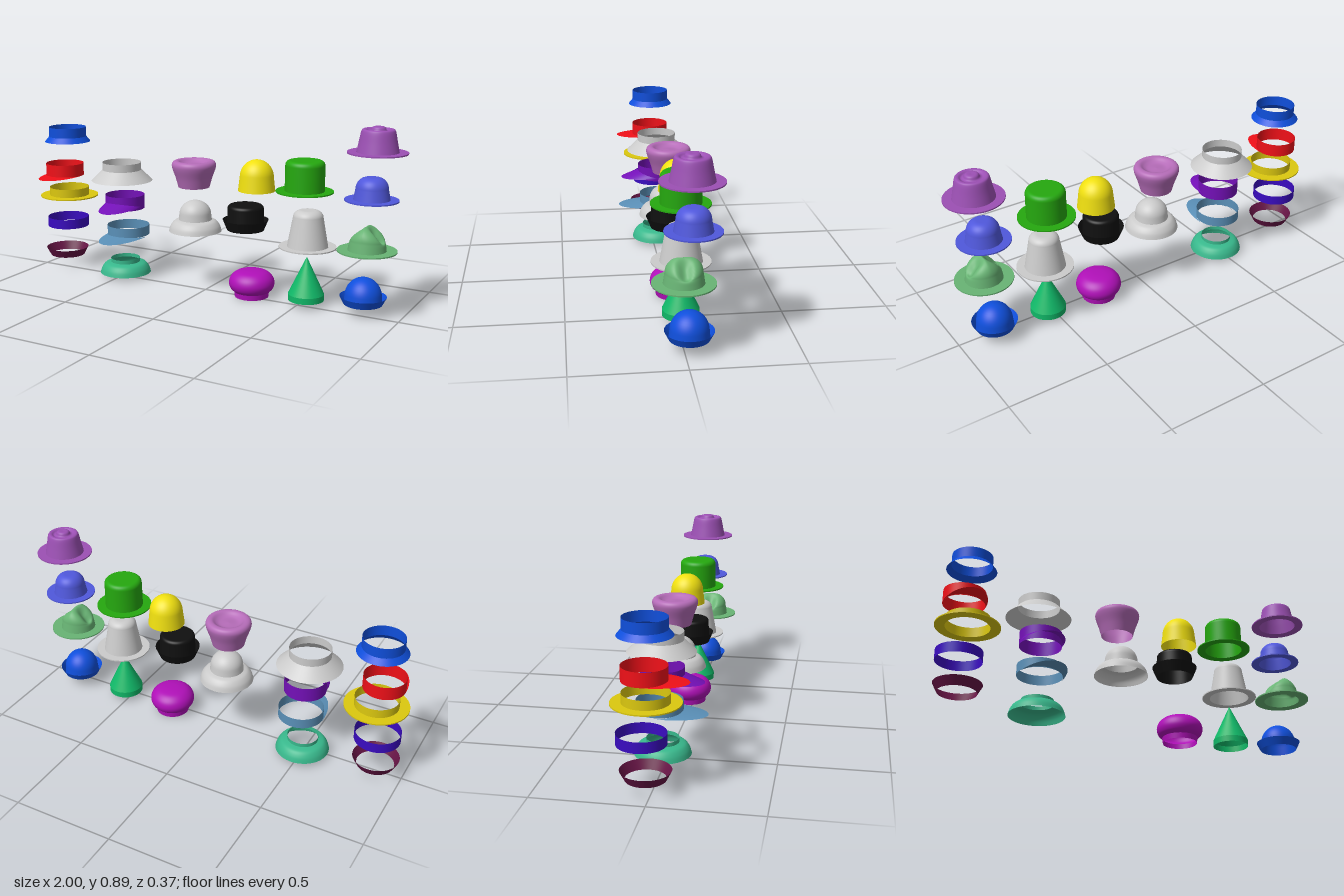
import * as THREE from 'three';

// Smooth profile run through a few [radius, height] points
const curve = (...p) => new THREE.SplineCurve(p.map(([r, y]) => new THREE.Vector2(r, y)))
  .getPoints(p.length * 5).map((q) => new THREE.Vector2(Math.max(q.x, 0), q.y));

// Straight run between two radii and heights; separate runs keep edges sharp
const cone = (r0, y0, r1, y1) => [new THREE.Vector2(r0, y0), new THREE.Vector2(r1, y1)];
const band = (r, y0, y1) => cone(r, y0, r, y1);

// Thin flat brim standing on y = 0
const THICK = 0.006;
const flatBrim = (rOut, rIn) => [
  cone(rIn, 0, rOut, 0), band(rOut, 0, THICK), cone(rOut, THICK, rIn, THICK)];

// Rounded sloping brim ending at a band or crown
const bellBrim = (rIn) => [curve([0.132, 0], [0.123, 0.027], [0.105, 0.049], [rIn, 0.058])];

// Brim turned up around the base of a crown
const upturnedBrim = (rOut, height) => [cone(0.09, 0, rOut, height)];

// Closed crown: tapering wall, then an elliptical shoulder rx by ry, then a flat top
function crown(rBase, rTop, y0, height, rx, ry) {
  const wall = cone(rBase, y0, rTop, height - ry);
  const shoulder = new THREE.EllipseCurve(rTop - rx, height - ry, rx, ry, 0, Math.PI / 2).getPoints(12);
  const top = cone(rTop - rx, height, 0, height);
  const path = [...wall, ...shoulder.slice(1)];
  return rTop > rx ? [...path, top[1]] : path;
}

// Cap visor: a tongue swept forward from the front half of the band
function visor(r, reach, yIn, yOut) {
  const geometry = new THREE.PlaneGeometry(1, 1, 28, 5);
  const p = geometry.attributes.position;
  for (let i = 0; i < p.count; i++) {
    const angle = (0.5 - p.getX(i)) * Math.PI;
    const t = 0.5 - p.getY(i);
    const s = Math.sin(angle);
    const rise = (1 - t) * (0.35 + 0.65 * s) + t * 0.35 * (1 - s);
    p.setXYZ(i, r * Math.cos(angle), yOut + (yIn - yOut) * rise, s * (r + (reach - r) * t));
  }
  geometry.computeVertexNormals();
  return geometry;
}

// Dents on both sides of the crown, leaving a ridge along the middle
function pinch(geometry) {
  const p = geometry.attributes.position;
  for (let i = 0; i < p.count; i++) {
    const x = p.getX(i), y = p.getY(i), z = p.getZ(i);
    const high = THREE.MathUtils.smoothstep(y, 0.03, 0.105);
    const side = 1 - Math.exp(-((x / 0.025) ** 2));
    const dent = high * side * Math.exp(-((z / 0.03) ** 2));
    p.setXYZ(i, x * (1 - 0.15 * dent), y - 0.036 * dent - high * 0.22 * Math.abs(x), z);
  }
  geometry.computeVertexNormals();
}

// Even spacing along a profile, for crowns that are reshaped afterwards
function respace(points) {
  const path = new THREE.CurvePath();
  points.slice(1).forEach((q, i) => path.add(new THREE.LineCurve(points[i], q)));
  return path.getSpacedPoints(36);
}

export function createModel() {
  const model = new THREE.Group();
  model.name = 'hatCollection';

  // One hat: its base at (x, y, z), with parts given as named lists of profile runs
  function addHat(name, color, x, y, z, parts) {
    const hat = new THREE.Group();
    hat.name = name;
    hat.position.set(x, y, z);
    const material = new THREE.MeshStandardMaterial({ color, side: THREE.DoubleSide });
    for (const [part, runs] of Object.entries(parts)) {
      for (const run of runs) {
        const geometry = run.isBufferGeometry ? run : new THREE.LatheGeometry(run, 56);
        const mesh = new THREE.Mesh(geometry, material);
        mesh.name = part;
        hat.add(mesh);
      }
    }
    model.add(hat);
    return hat;
  }

  const Z = -0.024, BACK = -0.04;
  const GREY = 0xbdbdbd, BLUE = 0x0f4fdc;

  // First column: open bands and brims
  addHat('flaredBand', BLUE, -0.85, 0.687, Z, {
    brim: [cone(0.119, 0, 0.097, 0.027)], band: [band(0.097, 0.027, 0.077)] });
  addHat('flatVisorBand', 0xf01018, -0.874, 0.503, Z, {
    band: [band(0.099, 0, 0.065)], visor: [visor(0.099, 0.189, 0.003, -0.002)] });
  addHat('flatBrimBand', 0xdcc80f, -0.848, 0.393, Z, {
    brim: flatBrim(0.152, 0.104), band: [band(0.104, 0, 0.049)] });
  addHat('plainBand', 0x3a0cc0, -0.873, 0.223, BACK, { band: [band(0.109, 0, 0.05)] });
  addHat('upturnedBand', 0x661445, -0.872, 0.064, Z, { brim: upturnedBrim(0.112, 0.042) });

  // Second column: open bands and brims
  addHat('wideSlopedBand', GREY, -0.508, 0.509, Z, {
    brim: [cone(0.157, 0, 0.1, 0.056)], band: [band(0.1, 0.056, 0.095)] });
  addHat('slopedVisorBand', 0x7410b8, -0.492, 0.365, Z, {
    band: [band(0.101, 0, 0.071)], visor: [visor(0.101, 0.192, 0.037, 0.001)] });
  addHat('longVisorBand', 0x5a90b8, -0.484, 0.223, BACK, {
    band: [band(0.109, 0, 0.05)], visor: [visor(0.109, 0.224, 0.004, -0.011)] });
  addHat('bellBand', 0x38b88c, -0.495, 0.018, Z, {
    brim: bellBrim(0.076), band: [band(0.076, 0.058, 0.077)] });

  // Third column
  addHat('dimpledCrown', 0xb56cb8, -0.088, 0.513, BACK, {
    crown: [curve([0.078, 0], [0.091, 0.047], [0.107, 0.092], [0.11, 0.115], [0.1, 0.13],
      [0.08, 0.132], [0.06, 0.119], [0.04, 0.113], [0, 0.115])] });
  addHat('bellHat', GREY, -0.072, 0.294, Z, {
    brim: bellBrim(0.083), crown: [crown(0.083, 0.08, 0.058, 0.155, 0.08, 0.072)] });

  // Fourth column
  addHat('thimbleCrown', 0xf0e010, 0.259, 0.529, BACK, {
    crown: [crown(0.09, 0.082, 0, 0.152, 0.082, 0.085)] });
  addHat('upturnedFlatHat', 0x101010, 0.216, 0.337, -0.01, {
    brim: upturnedBrim(0.111, 0.051), crown: [crown(0.09, 0.088, 0, 0.124, 0.018, 0.018)] });
  addHat('puffCrown', 0xb010b8, 0.246, 0, Z, {
    band: [cone(0.083, 0, 0.086, 0.026)],
    crown: [curve([0.086, 0.026], [0.104, 0.043], [0.112, 0.07], [0.103, 0.1],
      [0.077, 0.123], [0.04, 0.132], [0, 0.134])] });

  // Fifth column
  addHat('topHat', 0x25a80f, 0.516, 0.552, Z, {
    brim: flatBrim(0.136, 0.094), crown: [crown(0.094, 0.093, 0, 0.15, 0.022, 0.024)] });
  addHat('taperedHat', GREY, 0.537, 0.287, Z, {
    brim: flatBrim(0.136, 0.098), crown: [crown(0.098, 0.072, 0, 0.18, 0.04, 0.035)] });
  addHat('coneHat', 0x10b868, 0.535, 0.028, Z, {
    band: [band(0.086, 0, 0.03)], crown: [cone(0.086, 0.03, 0, 0.212)] });

  // Sixth column
  addHat('ringedHat', 0x9c50b4, 0.863, 0.764, Z, {
    brim: flatBrim(0.137, 0.096),
    crown: [curve([0.096, 0.003], [0.086, 0.051], [0.077, 0.096], [0.07, 0.108], [0.058, 0.108],
      [0.047, 0.101], [0.036, 0.104], [0.03, 0.116], [0.02, 0.121], [0, 0.12])] });
  addHat('roundHat', 0x5058dc, 0.84, 0.543, -0.034, {
    brim: flatBrim(0.124, 0.085), crown: [crown(0.085, 0.075, 0, 0.108, 0.05, 0.055)] });
  const pinched = addHat('pinchedHat', 0x68b474, 0.84, 0.315, 0.004, {
    brim: flatBrim(0.137, 0.089), crown: [respace(crown(0.089, 0.081, 0, 0.118, 0.06, 0.066))] });
  pinch(pinched.getObjectByName('crown').geometry);
  addHat('bowlHat', BLUE, 0.82, 0.053, Z, {
    brim: upturnedBrim(0.109, 0.037), crown: [crown(0.09, 0.086, 0, 0.127, 0.086, 0.09)] });

  return model;
}
